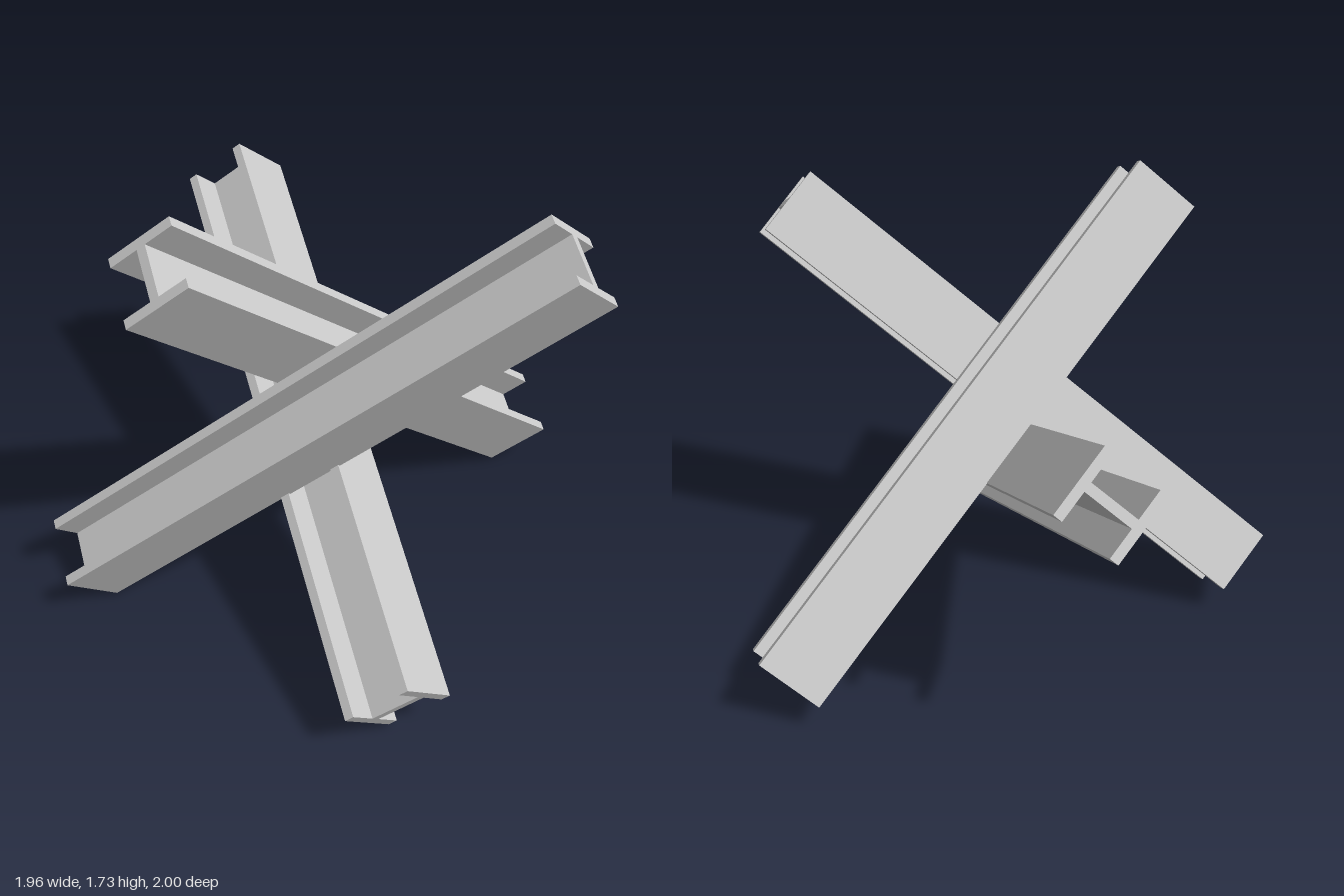
import * as THREE from 'three';

const LENGTH = 2.23, SIZE = 0.262, FLANGE = 0.035, WEB = 0.035;

// Three mutually perpendicular directions of the tilted frame
const e1 = new THREE.Vector3(0.623, 0.635, -0.458).normalize();
const e3 = new THREE.Vector3().crossVectors(e1, new THREE.Vector3(0.775, -0.418, 0.474)).normalize();
const e2 = new THREE.Vector3().crossVectors(e3, e1);

// H section: flanges set apart along x, web between them
function beamGeometry() {
  const h = SIZE / 2, f = h - FLANGE, w = WEB / 2;
  const section = new THREE.Shape([
    [-h, -h], [-f, -h], [-f, -w], [f, -w], [f, -h], [h, -h],
    [h, h], [f, h], [f, w], [-f, w], [-f, h], [-h, h],
  ].map(([x, y]) => new THREE.Vector2(x, y)));
  const geometry = new THREE.ExtrudeGeometry(section, { depth: LENGTH, bevelEnabled: false });
  return geometry.translate(0, 0, -LENGTH / 2);
}

export function createModel() {
  const model = new THREE.Group();
  model.name = 'crossedBeamObstacle';
  const material = new THREE.MeshStandardMaterial({ color: 0xcccccc, flatShading: true });
  const geometry = beamGeometry();

  // name, centre, direction between flanges, direction across each flange
  const beams = [
    ['risingBeam', [0.166, 0.847, 0.325], e2, e3],
    ['fallingBeam', [-0.026, 0.652, 0.132], e1, e3],
    ['leaningBeam', [0.045, 0.868, -0.04], e2, e1],
  ];
  for (const [name, centre, depth, width] of beams) {
    const beam = new THREE.Mesh(geometry, material);
    beam.name = name;
    const axis = new THREE.Vector3().crossVectors(depth, width);
    beam.quaternion.setFromRotationMatrix(new THREE.Matrix4().makeBasis(depth, width, axis));
    beam.position.set(...centre);
    model.add(beam);
  }
  return model;
}
